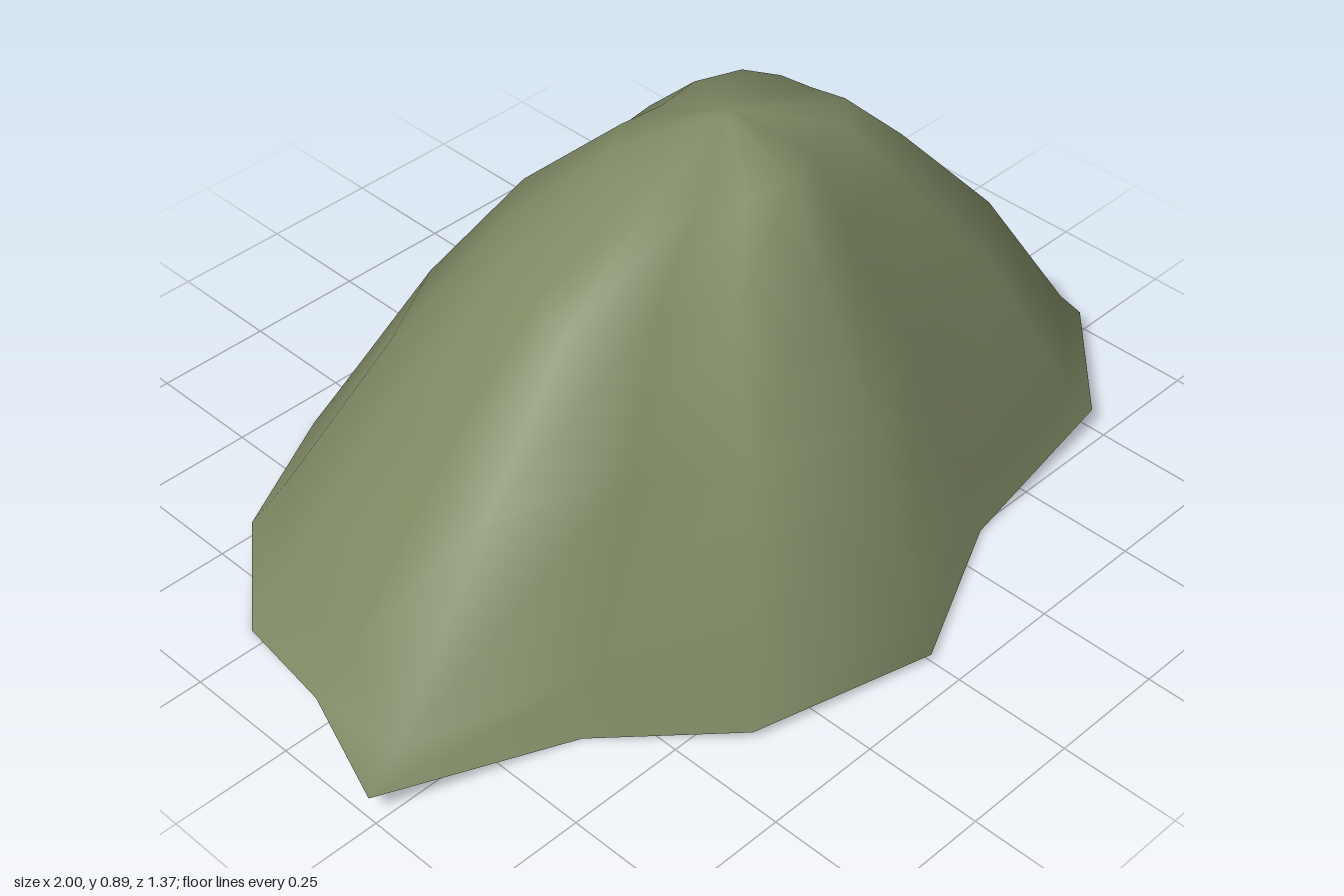
import * as THREE from 'three';

// Uneven outline of the hill's foot, [x, y, z], running from the front round by +x
const RIM = [
  [0, 0.02, 0.68], [0.34, 0.01, 0.515], [0.75, 0.05, 0.465], [1, 0.04, 0.235],
  [0.935, 0.04, -0.03], [0.895, 0.003, -0.3], [0.75, 0.03, -0.555], [0.39, 0.01, -0.69],
  [0, 0.01, -0.64], [-0.37, 0.01, -0.675], [-0.665, 0.025, -0.51], [-0.845, 0.003, -0.29],
  [-0.9, 0.045, -0.03], [-1, 0.055, 0.235], [-0.6, 0.003, 0.36], [-0.385, 0.025, 0.585],
];

// Rings from summit to foot: outline scale, height, and centre shift in x and z
const RINGS = [
  { s: 0.04, y: 0.888, x: 0.1, z: 0.035 },
  { s: 0.26, y: 0.835, x: 0.09, z: 0.045 },
  { s: 0.45, y: 0.69, x: 0.05, z: 0.02 },
  { s: 0.69, y: 0.445, x: 0.03, z: 0.02 },
  { s: 0.93, y: 0.11, x: 0.01, z: 0.005 },
];

function hillGeometry() {
  const n = RIM.length;
  const positions = [0.1, 0.89, 0.035];
  for (const r of RINGS) {
    for (const [x, , z] of RIM) positions.push(x * r.s + r.x, r.y, z * r.s + r.z);
  }
  for (const p of RIM) positions.push(...p);

  const index = [];
  const at = (ring, j) => 1 + ring * n + (j % n);
  for (let j = 0; j < n; j++) {
    index.push(0, at(0, j), at(0, j + 1));
    for (let i = 0; i < RINGS.length; i++) {
      const a = at(i, j), b = at(i + 1, j), c = at(i + 1, j + 1), d = at(i, j + 1);
      index.push(a, b, d, b, c, d);
    }
  }
  const geometry = new THREE.BufferGeometry();
  geometry.setAttribute('position', new THREE.Float32BufferAttribute(positions, 3));
  geometry.setIndex(index);
  geometry.computeVertexNormals();
  return geometry;
}

export function createModel() {
  const group = new THREE.Group();
  group.name = 'hill';

  // Open shell, seen from inside as well
  const mossGreen = new THREE.MeshStandardMaterial({ color: 0x7f8a64, side: THREE.DoubleSide });
  mossGreen.name = 'mossGreen';

  const slope = new THREE.Mesh(hillGeometry(), mossGreen);
  slope.name = 'hillSlope';
  group.add(slope);
  return group;
}
